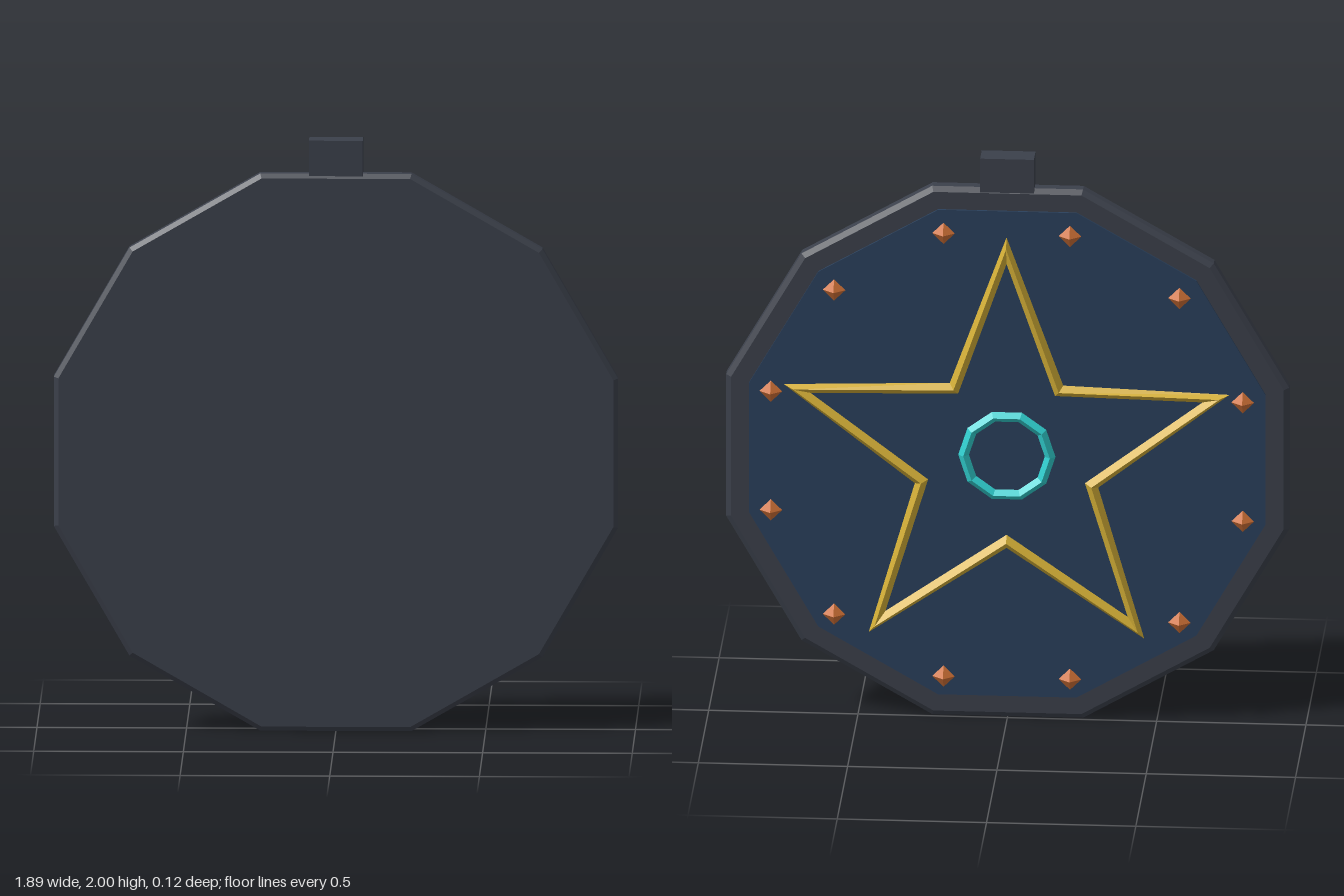
import * as THREE from 'three';

const CENTER_Y = 0.944;
const flat = (name, color) => {
  const m = new THREE.MeshStandardMaterial({ color, flatShading: true });
  m.name = name;
  return m;
};

// Twelve-sided plate from a [radius, z] profile running from back to front
function plate(profile) {
  const pts = profile.map(([r, z]) => new THREE.Vector2(r, z));
  return new THREE.LatheGeometry(pts, 12, Math.PI / 12).rotateX(Math.PI / 2);
}

// Closed star outline with a diamond cross-section; the back is at -z
function starFrame() {
  // [tip radius, notch radius, z] for outer edge, crest, inner edge, base
  const section = [
    [0.785, 0.323, -0.038],
    [0.75, 0.3, -0.061],
    [0.69, 0.276, -0.038],
    [0.75, 0.3, -0.015],
  ];
  const pos = [];
  const index = [];
  for (let i = 0; i < 10; i++) {
    const a = Math.PI / 2 + (i * Math.PI) / 5;
    for (const s of section) {
      const r = s[i % 2];
      pos.push(r * Math.cos(a), r * Math.sin(a), s[2]);
    }
    for (let j = 0; j < 4; j++) {
      const k = (j + 1) % 4;
      const n = ((i + 1) % 10) * 4;
      const p = i * 4;
      index.push(p + j, p + k, n + j, p + k, n + k, n + j);
    }
  }
  const g = new THREE.BufferGeometry();
  g.setAttribute('position', new THREE.Float32BufferAttribute(pos, 3));
  g.setIndex(index);
  g.computeVertexNormals();
  return g;
}

export function createModel() {
  const slate = flat('slate', 0x3b404b);
  const navy = flat('navy', 0x2a405c);
  const gold = flat('gold', 0xd4af37);
  const copper = flat('copper', 0xcf7036);
  const teal = flat('teal', 0x30d0d0);

  const model = new THREE.Group();
  model.name = 'medallion';
  const face = new THREE.Group();
  face.name = 'disc';
  face.position.y = CENTER_Y;
  model.add(face);
  const add = (parent, name, geometry, material) => {
    const mesh = new THREE.Mesh(geometry, material);
    mesh.name = name;
    parent.add(mesh);
    return mesh;
  };

  // Disc with chamfered rim, and the inlaid panel on its back
  add(face, 'body', plate([[0, 0.004], [0.958, 0.004], [0.976, 0.016],
    [0.976, 0.05], [0.96, 0.062], [0, 0.062]]), slate);
  add(face, 'backPanel', plate([[0, -0.003], [0.895, -0.003], [0.895, 0.004]]), navy);

  // Raised star and central ring
  add(face, 'star', starFrame(), gold);
  const ring = add(face, 'centerRing', new THREE.TorusGeometry(0.145, 0.018, 4, 10), teal);
  ring.position.z = -0.022;

  // Studs around the panel
  const studGeometry = new THREE.OctahedronGeometry(0.038).scale(1, 1, 0.82);
  for (let i = 0; i < 12; i++) {
    const a = ((i + 0.5) * Math.PI) / 6;
    const stud = add(face, 'stud', studGeometry, copper);
    stud.position.set(0.818 * Math.cos(a), 0.818 * Math.sin(a), -0.027);
  }

  // Hanging tab on top
  const tab = add(model, 'hangingTab', new THREE.BoxGeometry(0.18, 0.12, 0.08), slate);
  tab.position.set(0, 1.94, 0.023);
  return model;
}
